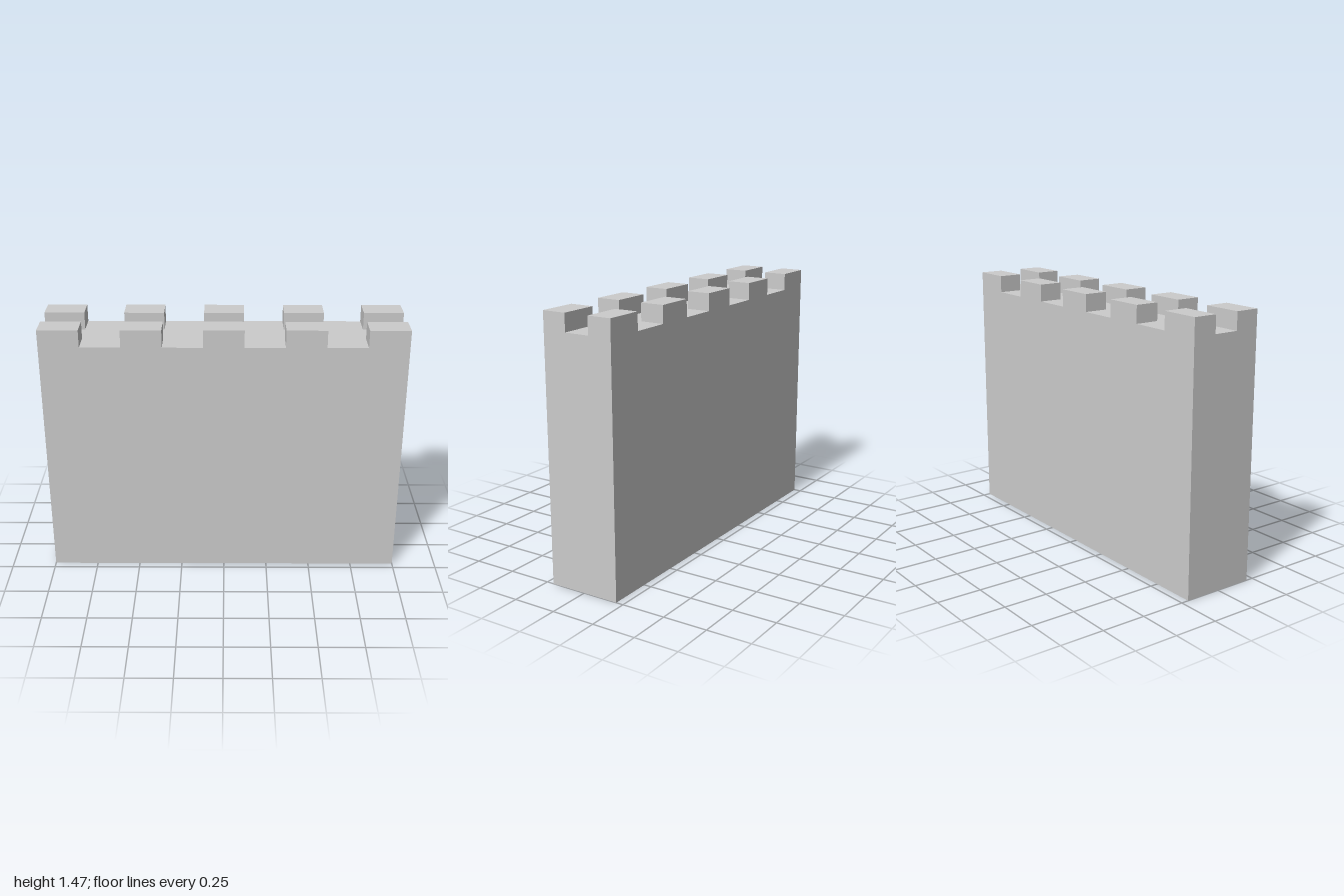
import * as THREE from 'three';

export function createModel() {
  const group = new THREE.Group();
  const material = new THREE.MeshStandardMaterial({ color: 0xcccccc, flatShading: true });

  const length = 2, depth = 0.415, wallTop = 1.375, top = 1.473;
  const merlonCount = 5;
  const merlonWidth = length / (merlonCount * 2 - 1); // gaps are as wide as merlons
  const walkway = 0.142;
  const merlonDepth = (depth - walkway) / 2;

  function addBox(name, w, h, d, x, y, z) {
    const mesh = new THREE.Mesh(new THREE.BoxGeometry(w, h, d), material);
    mesh.name = name;
    mesh.position.set(x, y + h / 2, z);
    group.add(mesh);
  }

  // Solid wall
  addBox('wall', length, wallTop, depth, 0, 0, 0);

  // Two rows of merlons flanking the walkway
  for (const side of [1, -1]) {
    for (let i = 0; i < merlonCount; i++) {
      const x = -length / 2 + merlonWidth * (2 * i + 0.5);
      const z = side * (walkway + merlonDepth) / 2;
      addBox(side > 0 ? 'frontMerlon' : 'backMerlon',
        merlonWidth, top - wallTop, merlonDepth, x, wallTop, z);
    }
  }

  return group;
}
